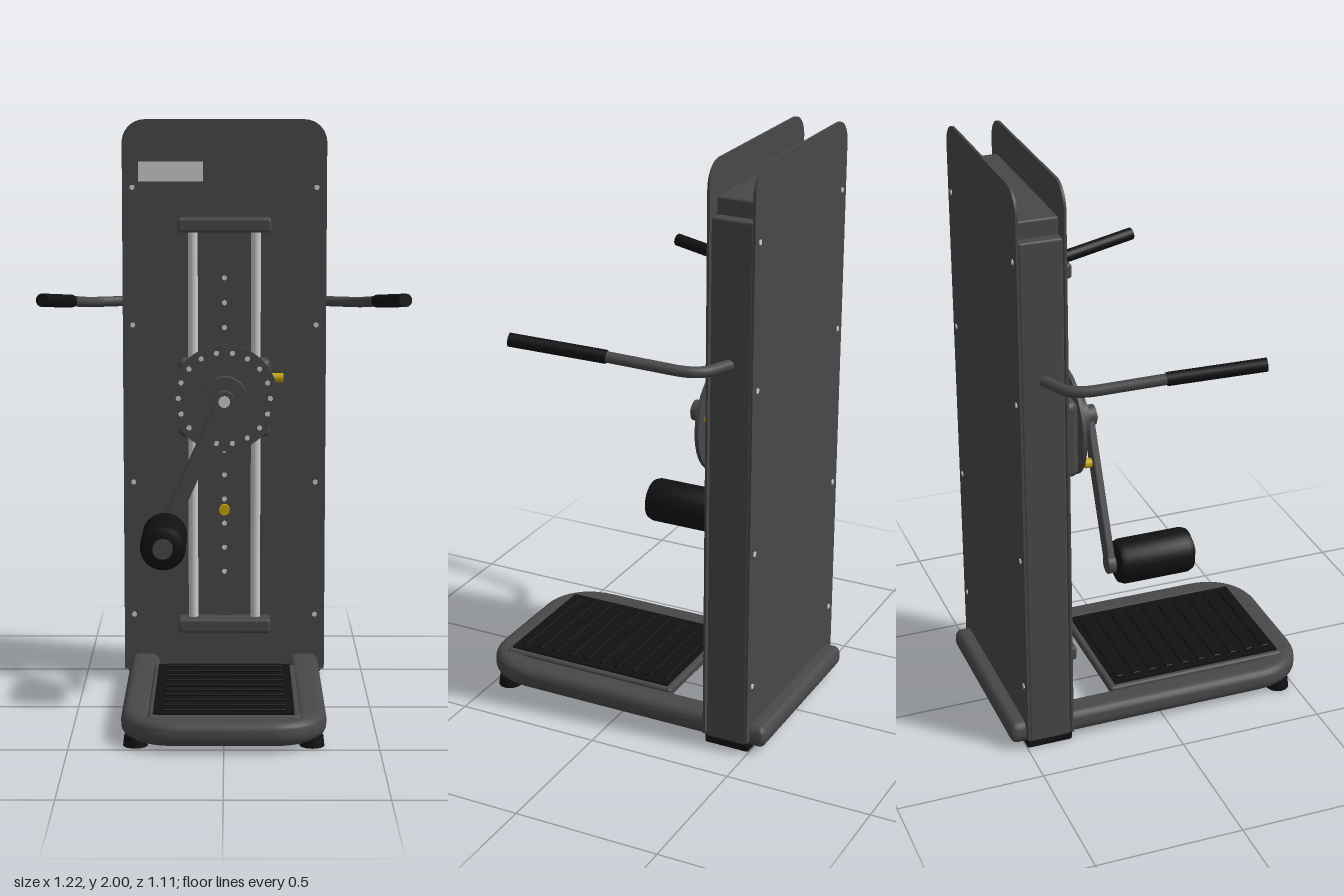
import * as THREE from 'three';
import { toCreasedNormals } from 'three/addons/utils/BufferGeometryUtils.js';
import { RoundedBoxGeometry } from 'three/addons/geometries/RoundedBoxGeometry.js';

const mat = (name, color) => Object.assign(new THREE.MeshStandardMaterial({ color }), { name });

export function createModel() {
  const steel = mat('dark grey steel', 0x484848);
  const black = mat('black rubber', 0x111111);
  const silver = mat('polished metal', 0xcccccc);
  const yellow = mat('yellow knob', 0xc4a30c);
  const model = new THREE.Group();

  const add = (name, geometry, material, x = 0, y = 0, z = 0) => {
    const mesh = new THREE.Mesh(geometry, material);
    mesh.name = name;
    mesh.position.set(x, y, z);
    model.add(mesh);
    return mesh;
  };
  // box given by its minimum and maximum corners, optionally rounded
  const box = (name, m, [x0, y0, z0], [x1, y1, z1], r = 0) => {
    const s = [x1 - x0, y1 - y0, z1 - z0];
    const g = r ? new RoundedBoxGeometry(...s, 3, r) : new THREE.BoxGeometry(...s);
    return add(name, g, m, (x0 + x1) / 2, (y0 + y1) / 2, (z0 + z1) / 2);
  };
  // cylinder lying along z
  const disc = (name, m, r, x, y, z0, z1, n = 32) =>
    add(name, new THREE.CylinderGeometry(r, r, z1 - z0, n).rotateX(Math.PI / 2), m, x, y, (z0 + z1) / 2);

  // Base frame: one bevelled ring seen from above, shape y becomes z
  const outer = new THREE.Shape();
  outer.moveTo(-0.31, -0.555);
  outer.lineTo(0.31, -0.555);
  outer.quadraticCurveTo(0.335, -0.555, 0.335, -0.53);
  outer.lineTo(0.335, 0.36);
  outer.bezierCurveTo(0.335, 0.48, 0.25, 0.55, 0.15, 0.55);
  outer.lineTo(-0.15, 0.55);
  outer.bezierCurveTo(-0.25, 0.55, -0.335, 0.48, -0.335, 0.36);
  outer.lineTo(-0.335, -0.53);
  outer.quadraticCurveTo(-0.335, -0.555, -0.31, -0.555);
  const hole = new THREE.Path();
  hole.moveTo(-0.23, -0.345);
  hole.lineTo(-0.23, 0.38);
  hole.quadraticCurveTo(-0.23, 0.45, -0.16, 0.45);
  hole.lineTo(0.16, 0.45);
  hole.quadraticCurveTo(0.23, 0.45, 0.23, 0.38);
  hole.lineTo(0.23, -0.345);
  outer.holes.push(hole);
  const b = 0.032;
  const ring = new THREE.ExtrudeGeometry(outer, {
    depth: 0.016, bevelThickness: b, bevelSize: b, bevelOffset: -b, bevelSegments: 5, curveSegments: 10,
  }).rotateX(Math.PI / 2);
  add('baseFrame', toCreasedNormals(ring, 0.6), steel, 0, 0.068, 0);

  // Platform with a ribbed mat
  box('platform', steel, [-0.245, 0.075, -0.165], [0.245, 0.107, 0.48], 0.01);
  box('mat', black, [-0.228, 0.1, -0.145], [0.228, 0.113, 0.467]);
  for (let i = 0; i < 10; i++) {
    const z = -0.115 + i * 0.061;
    box('matRib', black, [-0.2, 0.11, z - 0.013], [0.2, 0.12, z + 0.013], 0.004);
  }

  // Feet
  for (const s of [-1, 1]) {
    add('frontFoot', new THREE.CylinderGeometry(0.036, 0.04, 0.035, 20), black, s * 0.285, 0.0175, 0.445);
    box('rearFoot', black, [s * 0.265 - 0.072, 0, -0.5], [s * 0.265 + 0.072, 0.04, -0.34], 0.008);
  }

  // Tower: core, side channels and two cover panels
  box('towerCore', steel, [-0.305, 0.02, -0.495], [0.305, 1.885, -0.348], 0.008);
  for (const s of [-1, 1])
    box('sideChannel', steel, [s * 0.325 - 0.021, 0.03, -0.493], [s * 0.325 + 0.021, 1.83, -0.35], 0.008);
  const panel = new THREE.Shape();
  panel.moveTo(-0.357, 0.045);
  panel.lineTo(0.357, 0.045);
  panel.lineTo(0.357, 1.92);
  panel.absarc(0.277, 1.92, 0.08, 0, Math.PI / 2);
  panel.absarc(-0.277, 1.92, 0.08, Math.PI / 2, Math.PI);
  const panelGeo = new THREE.ExtrudeGeometry(panel, { depth: 0.008, bevelEnabled: false });
  add('frontPanel', panelGeo, steel, 0, 0, -0.35);
  add('backPanel', panelGeo, steel, 0, 0, -0.503);
  for (const x of [-0.322, 0.322])
    for (const y of [0.245, 0.725, 1.285, 1.765]) {
      disc('frontBolt', silver, 0.009, x, y, -0.345, -0.339, 12);
      disc('backBolt', silver, 0.009, x, y, -0.506, -0.5, 12);
    }
  box('namePlate', silver, [-0.3, 1.785, -0.344], [-0.075, 1.855, -0.338]);

  // Slide rails and perforated height bar
  for (const y of [0.22, 1.637])
    box('railBracket', steel, [-0.163, y - 0.025, -0.345], [0.163, y + 0.025, -0.258], 0.01);
  for (const x of [-0.11, 0.11])
    add('slideRail', new THREE.CylinderGeometry(0.017, 0.017, 1.38, 20), silver, x, 0.928, -0.313);
  box('heightBar', steel, [-0.027, 0.12, -0.345], [0.027, 1.62, -0.326]);
  for (let i = 0; i < 13; i++) disc('heightHole', silver, 0.009, 0, 0.405 + i * 0.0872, -0.328, -0.324, 12);
  disc('heightKnob', yellow, 0.019, 0, 0.63, -0.328, -0.305, 16);

  // Carriage, index disc and hub
  box('carriage', steel, [-0.162, 0.9, -0.335], [0.162, 1.175, -0.24], 0.025);
  disc('indexDisc', steel, 0.187, 0, 1.04, -0.235, -0.222, 48);
  for (let i = 0; i < 18; i++) {
    const a = (i + 0.5) * Math.PI / 9;
    disc('indexHole', silver, 0.009, 0.16 * Math.sin(a), 1.04 + 0.16 * Math.cos(a), -0.223, -0.219, 12);
  }
  disc('hub', steel, 0.08, 0, 1.04, -0.225, -0.172);
  disc('hubNose', steel, 0.035, 0, 1.04, -0.175, -0.132);
  disc('hubBolt', silver, 0.02, 0, 1.04, -0.135, -0.123, 16);
  add('carriageKnob', new THREE.CylinderGeometry(0.017, 0.017, 0.05, 16).rotateZ(Math.PI / 2), yellow, 0.182, 1.105, -0.282);

  // Swing arm with padded roller
  const top = new THREE.Vector2(0, 1.04), end = new THREE.Vector2(-0.205, 0.58);
  const angle = Math.atan2(end.x - top.x, top.y - end.y);
  const arm = box('swingArm', steel, [-0.028, 0, -0.166], [0.028, top.distanceTo(end), -0.14], 0.006);
  arm.position.set((top.x + end.x) / 2, (top.y + end.y) / 2, -0.153);
  arm.rotation.z = angle;
  disc('armTopEnd', steel, 0.034, top.x, top.y, -0.166, -0.14);
  disc('armLowerEnd', steel, 0.034, end.x, end.y, -0.166, -0.14);
  disc('armPin', yellow, 0.016, -0.064, 0.895, -0.19, -0.164, 16);
  const pad = [[0, -0.135], [0.055, -0.135], [0.07, -0.129], [0.077, -0.112], [0.077, 0.112], [0.07, 0.129], [0.055, 0.135], [0, 0.135]]
    .map(([r, h]) => new THREE.Vector2(r, h));
  const padGeo = toCreasedNormals(new THREE.LatheGeometry(pad, 32).rotateX(Math.PI / 2), 0.7);
  add('rollerPad', padGeo, black, end.x, end.y, -0.001);
  disc('rollerCap', steel, 0.034, end.x, end.y, 0.13, 0.144, 24);

  // Side handles
  for (const s of [-1, 1]) {
    const v = (x, y, z) => new THREE.Vector3(s * x, y, z);
    const gripStart = v(0.518, 1.391, -0.08), gripEnd = v(0.588, 1.42, 0.226);
    const path = new THREE.CurvePath();
    path.add(new THREE.LineCurve3(v(0.33, 1.363, -0.422), v(0.41, 1.363, -0.388)));
    path.add(new THREE.QuadraticBezierCurve3(v(0.41, 1.363, -0.388), v(0.46, 1.363, -0.367), v(0.474, 1.369, -0.295)));
    path.add(new THREE.LineCurve3(v(0.474, 1.369, -0.295), gripStart));
    add('handleTube', new THREE.TubeGeometry(path, 40, 0.018, 14), steel);
    const grip = add('handleGrip', new THREE.CylinderGeometry(0.022, 0.022, gripStart.distanceTo(gripEnd), 20), black);
    grip.position.copy(gripStart).lerp(gripEnd, 0.5);
    grip.quaternion.setFromUnitVectors(new THREE.Vector3(0, 1, 0), gripEnd.clone().sub(gripStart).normalize());
  }

  return model;
}
